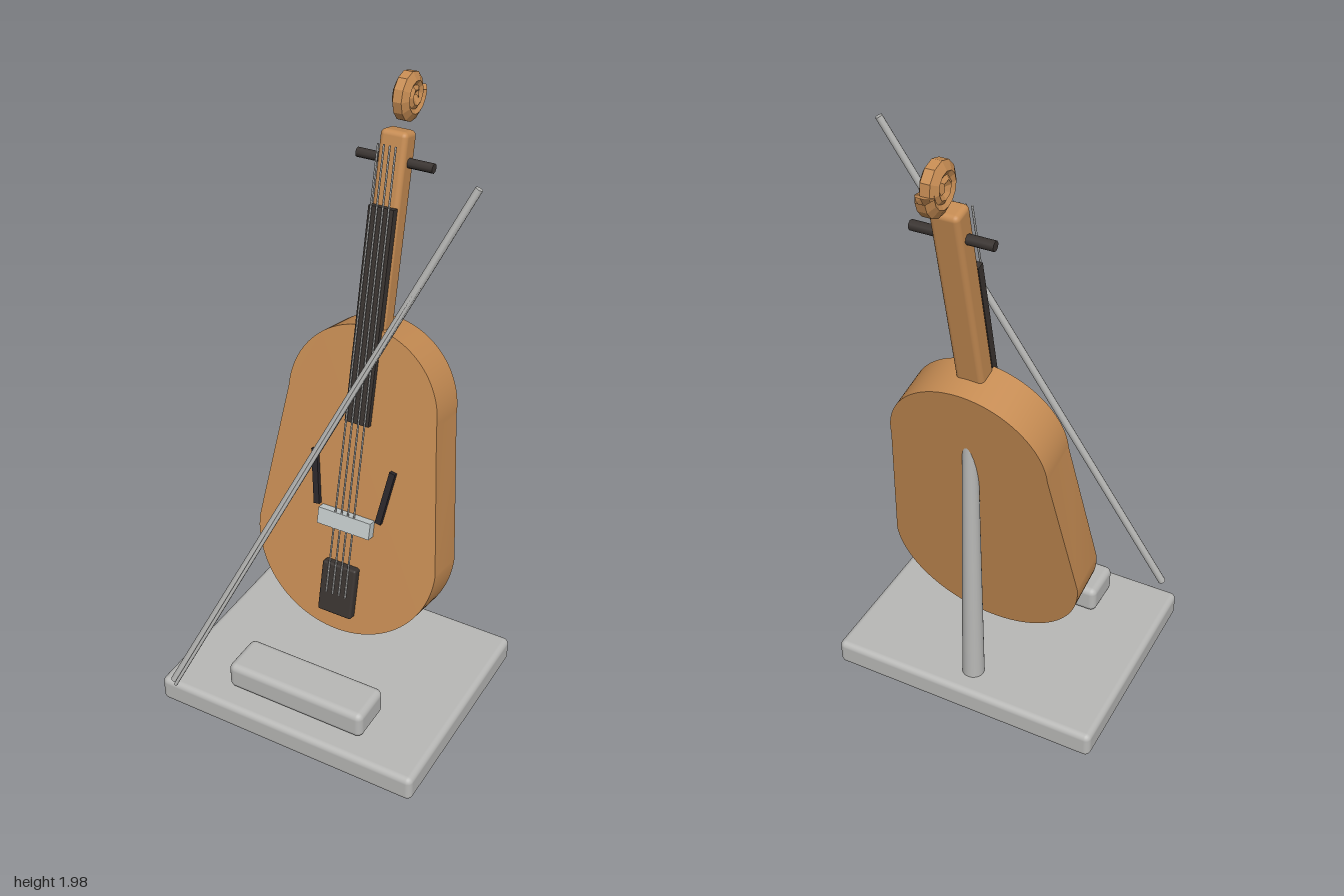
import * as THREE from 'three';
import { toCreasedNormals } from 'three/addons/utils/BufferGeometryUtils.js';
import { RoundedBoxGeometry } from 'three/addons/geometries/RoundedBoxGeometry.js';

function material(name, color) {
  const m = new THREE.MeshStandardMaterial({ color });
  m.name = name;
  return m;
}

export function createModel() {
  const wood = material('wood', 0xc68c53);
  const scrollWood = material('scrollWood', 0xc68c53);
  scrollWood.side = THREE.DoubleSide;
  scrollWood.flatShading = true;
  const grey = material('standGrey', 0xb8b8b6);
  const ebony = material('ebony', 0x3a3431);
  const black = material('soundHoleBlack', 0x2b272b);
  const pale = material('bridgeGrey', 0xc3caca);

  const model = new THREE.Group();
  model.name = 'violinOnStand';

  const add = (parent, name, geometry, mat, x = 0, y = 0, z = 0) => {
    const mesh = new THREE.Mesh(geometry, mat);
    mesh.name = name;
    mesh.position.set(x, y, z);
    parent.add(mesh);
    return mesh;
  };
  // Tapered rod between two points
  const rod = (parent, name, a, b, ra, rb, sides, mat) => {
    const from = new THREE.Vector3(...a), to = new THREE.Vector3(...b);
    const dir = to.clone().sub(from);
    const mesh = add(parent, name, new THREE.CylinderGeometry(rb, ra, dir.length(), sides), mat);
    mesh.position.copy(from).addScaledVector(dir, 0.5);
    mesh.quaternion.setFromUnitVectors(new THREE.Vector3(0, 1, 0), dir.normalize());
    return mesh;
  };

  // Display stand
  const stand = new THREE.Group();
  stand.name = 'stand';
  model.add(stand);
  add(stand, 'base', new RoundedBoxGeometry(0.92, 0.09, 0.74, 3, 0.02), grey, 0, 0.045, 0.05);
  add(stand, 'frontBlock', new RoundedBoxGeometry(0.49, 0.095, 0.152, 3, 0.022), grey, 0, 0.138, 0.268);
  rod(stand, 'post', [0, 0.085, -0.222], [0, 1.07, -0.218], 0.037, 0.023, 20, grey);

  // Instrument, leaning back; its own y runs along the body
  const violin = new THREE.Group();
  violin.name = 'violin';
  violin.position.y = 0.22;
  violin.rotation.x = -0.2075;
  model.add(violin);

  // Body: wide round bottom, straight flanks, smaller round top
  const outline = new THREE.Shape();
  outline.absarc(0, 0.793, 0.257, 0, Math.PI, false);
  outline.absellipse(0, 0.31, 0.32, 0.31, Math.PI, Math.PI * 2, false);
  outline.closePath();
  const bodyGeometry = new THREE.ExtrudeGeometry(outline, { depth: 0.144, bevelEnabled: false, curveSegments: 28 });
  bodyGeometry.translate(0, 0, -0.072);
  add(violin, 'body', toCreasedNormals(bodyGeometry, 0.5), wood);

  // Neck and fittings
  add(violin, 'neck', new RoundedBoxGeometry(0.088, 0.62, 0.072, 3, 0.016), wood, 0, 1.327, 0.031);
  add(violin, 'fingerboard', new THREE.BoxGeometry(0.082, 0.68, 0.026), ebony, 0, 1.078, 0.077);
  add(violin, 'tailpiece', new RoundedBoxGeometry(0.122, 0.18, 0.036, 2, 0.008), ebony, 0, 0.156, 0.081);
  add(violin, 'bridge', new THREE.BoxGeometry(0.186, 0.056, 0.034), pale, 0, 0.4, 0.085);
  rod(violin, 'pegBar', [-0.124, 1.547, 0.03], [0.124, 1.547, 0.03], 0.015, 0.015, 8, ebony);

  // Sound holes, leaning outward at the top
  for (const side of [-1, 1]) {
    const hole = add(violin, 'soundHole', new THREE.BoxGeometry(0.02, 0.185, 0.02), black, side * 0.124, 0.52, 0.077);
    hole.rotation.z = -side * 0.155;
  }

  // Strings
  for (let i = 0; i < 4; i++) {
    const x = (i - 1.5) * 0.021;
    rod(violin, 'string', [x * 1.1, 0.14, 0.099], [x * 0.9, 1.6, 0.097], 0.003, 0.003, 6, grey);
  }

  // Scroll: faceted tube wound inward
  const turns = 2.1, points = [];
  for (let i = 0; i <= 34; i++) {
    const t = i / 34, a = -0.15 + t * turns * Math.PI * 2, r = 0.061 - 0.05 * t;
    points.push(new THREE.Vector3(0, -r * Math.sin(a), -r * Math.cos(a)));
  }
  const spiral = new THREE.CatmullRomCurve3(points);
  add(violin, 'scroll', new THREE.TubeGeometry(spiral, 20, 0.028, 6, false), scrollWood, 0, 1.733, -0.006);
  const cap = add(violin, 'scrollEnd', new THREE.CircleGeometry(0.028, 6), scrollWood, 0, 1.733 + points[0].y, -0.006 + points[0].z);
  cap.lookAt(cap.position.clone().sub(spiral.getTangent(0)));

  // Bow leaning across the front
  const bow = new THREE.Group();
  bow.name = 'bow';
  model.add(bow);
  rod(bow, 'bowStick', [-0.4, 0.115, 0.425], [0.4, 1.86, 0.018], 0.013, 0.011, 10, grey);
  rod(bow, 'bowHair', [-0.386, 0.113, 0.441], [0.395, 1.845, 0.026], 0.006, 0.006, 6, grey);

  return model;
}
